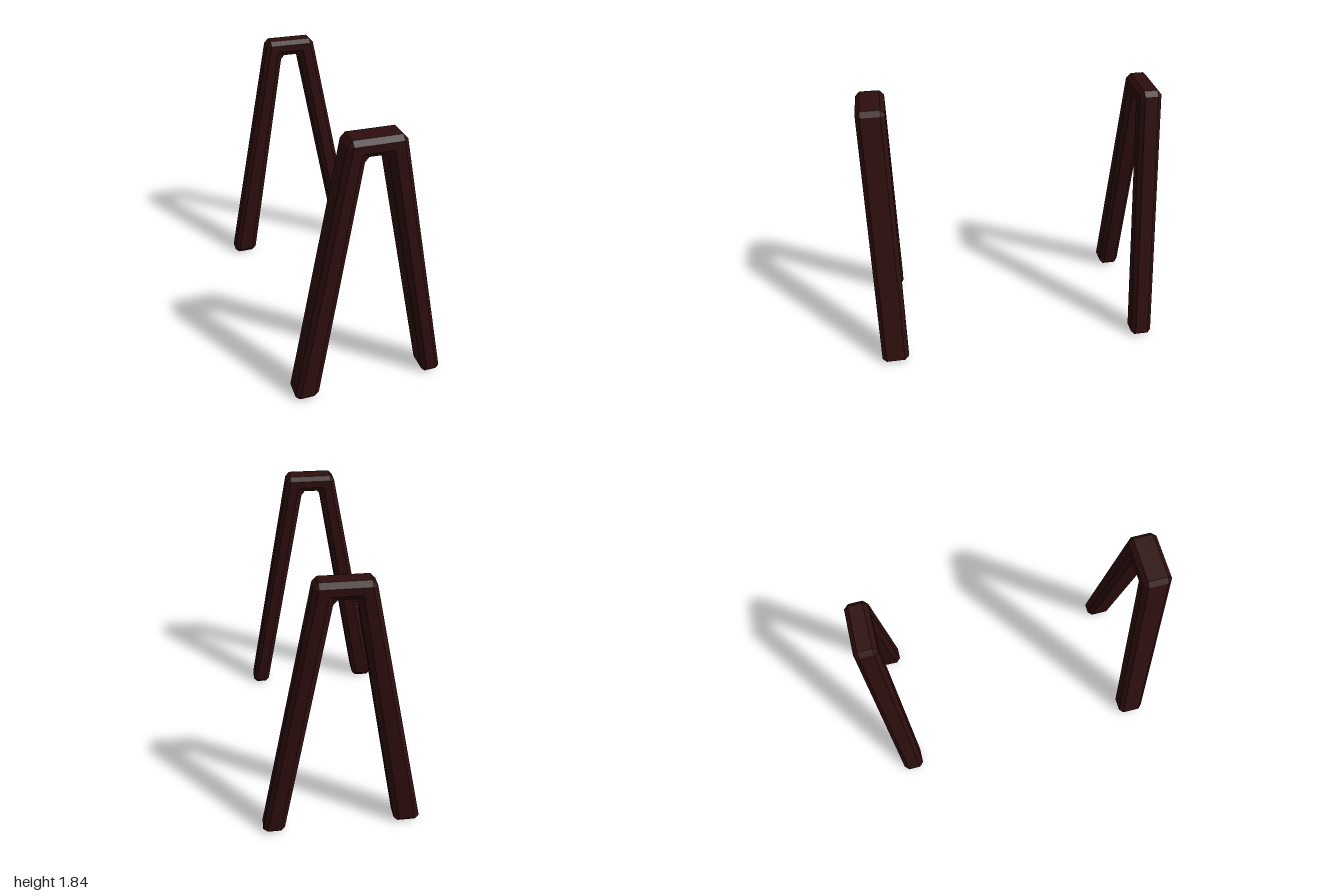
import * as THREE from 'three';

const BEVEL = 0.03;

// One entry per corner of the A-shaped outline, counter-clockwise from the front:
// [flat face corner], [rim point before the corner], [rim point after it]
const CORNERS = [
  [[-0.5, 0.035], [-0.53, 0.03], [-0.5, 0]],        // outer foot, right leg
  [[-0.39, 0.035], [-0.385, 0], [-0.355, 0.03]],    // inner foot, right leg
  [[-0.1, 1.755], [-0.075, 1.69], [-0.05, 1.72]],   // under the crossbar
  [[0.095, 1.755], [0.045, 1.72], [0.07, 1.69]],
  [[0.415, 0.035], [0.385, 0.03], [0.41, 0]],       // inner foot, left leg
  [[0.5, 0.035], [0.5, 0], [0.53, 0.03]],           // outer foot, left leg
  [[0.152, 1.803], [0.182, 1.803], [0.152, 1.835]], // top of the crossbar
  [[-0.152, 1.803], [-0.152, 1.835], [-0.182, 1.803]],
];

// Bevelled A-frame between zBack and zFront; footInset pulls the outer feet inward
function frameGeometry(zBack, zFront, footInset) {
  const place = ([x, y]) => new THREE.Vector2(
    y < 0.1 && Math.abs(x) > 0.45 ? x - Math.sign(x) * footInset : x, y);
  const face = CORNERS.map((c) => place(c[0]));
  const faceRing = face.flatMap((p) => [p, p]);
  const rimRing = CORNERS.flatMap((c) => [place(c[1]), place(c[2])]);
  const at = (ring, z) => ring.map((p) => new THREE.Vector3(p.x, p.y, z));
  const rows = [
    at(faceRing, zFront), at(rimRing, zFront - BEVEL),
    at(rimRing, zBack + BEVEL), at(faceRing, zBack),
  ];

  const points = [];
  const tri = (a, b, c) => {
    if (!a.equals(b) && !b.equals(c) && !c.equals(a)) points.push(a, b, c);
  };

  // Bevels and sides
  for (let r = 0; r < 3; r++) {
    const A = rows[r], B = rows[r + 1];
    for (let i = 0; i < A.length; i++) {
      const j = (i + 1) % A.length;
      tri(A[i], B[i], A[j]);
      tri(B[i], B[j], A[j]);
    }
  }

  // Flat front and back faces
  const front = at(face, zFront), back = at(face, zBack);
  for (const [a, b, c] of THREE.ShapeUtils.triangulateShape(face, [])) {
    tri(front[a], front[b], front[c]);
    tri(back[a], back[c], back[b]);
  }

  const geometry = new THREE.BufferGeometry().setFromPoints(points);
  geometry.computeVertexNormals();
  return geometry;
}

export function createModel() {
  const group = new THREE.Group();
  group.name = 'legFrames';
  const darkWood = new THREE.MeshStandardMaterial({ color: 0x2f0e0e });
  darkWood.name = 'darkWood';

  const addFrame = (name, zBack, zFront, footInset) => {
    const mesh = new THREE.Mesh(frameGeometry(zBack, zFront, footInset), darkWood);
    mesh.name = name;
    group.add(mesh);
  };
  addFrame('frontLegFrame', 0.81, 1, 0.015);
  addFrame('backLegFrame', -1, -0.85, 0);
  return group;
}
